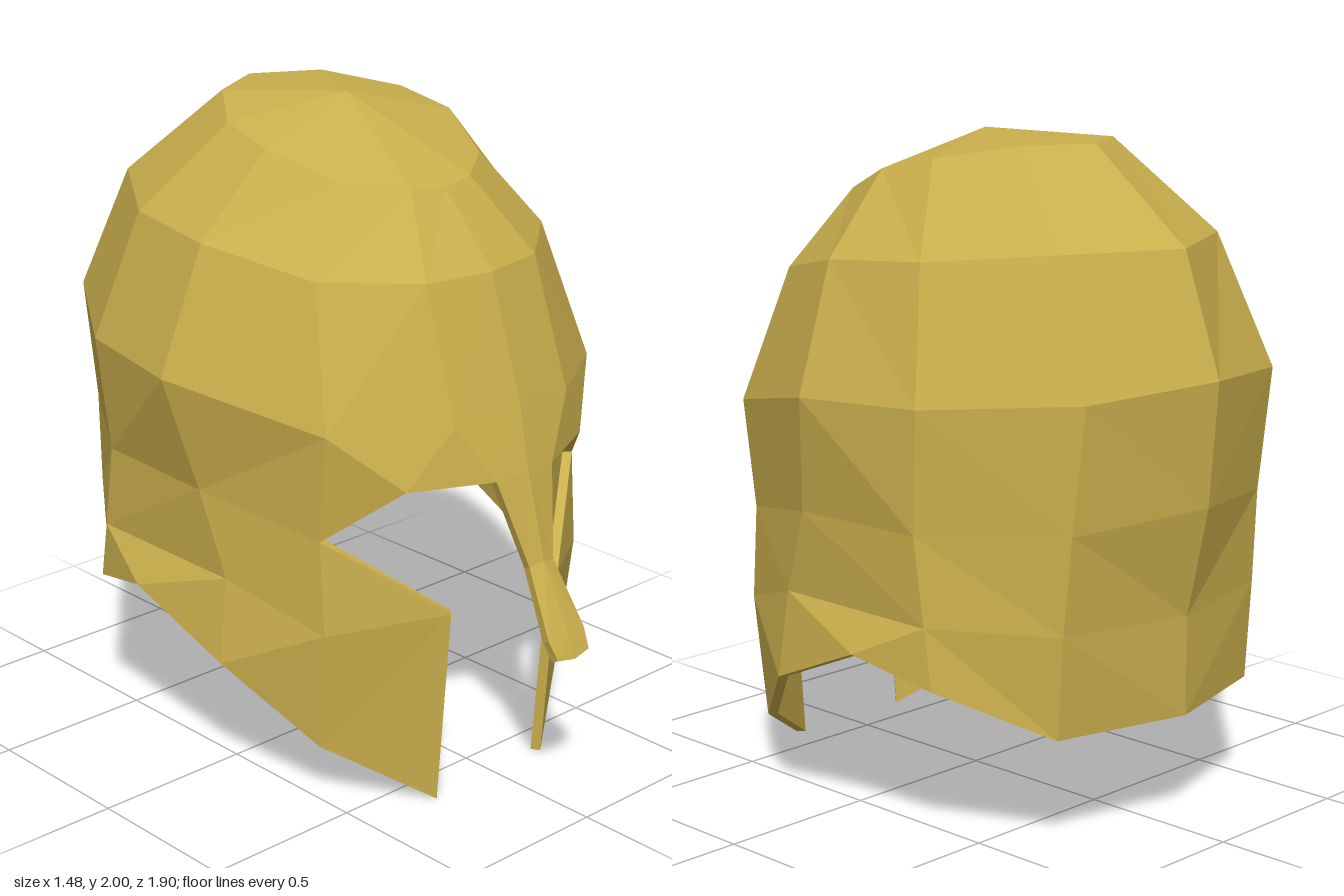
import * as THREE from 'three';

const THICKNESS = 0.03;

// Crown rings on the left half, each running from front centre to back centre
const crown = [
  [[0, 1.79, 0.38], [0.12, 1.8, 0.36], [0.28, 1.82, 0.24], [0.37, 1.9, 0.02], [0.35, 1.94, -0.17], [0.2, 1.98, -0.37], [0, 1.98, -0.48]],
  [[0, 1.58, 0.57], [0.22, 1.58, 0.53], [0.46, 1.59, 0.33], [0.6, 1.66, 0], [0.56, 1.68, -0.33], [0.35, 1.71, -0.65], [0, 1.71, -0.82]],
  [[0, 1.22, 0.69], [0.23, 1.19, 0.66], [0.54, 1.18, 0.46], [0.74, 1.28, -0.02], [0.67, 1.29, -0.42], [0.41, 1.32, -0.82], [0, 1.35, -0.95]],
];

// Named points of the brow, cheek, neck and nose guard on the left half
const lower = {
  brow0: [0, 1.03, 0.75], brow1: [0.115, 1.02, 0.735], brow2: [0.36, 1.02, 0.62], eye: [0.53, 0.85, 0.42],
  side3: [0.67, 0.93, 0.03], side4: [0.65, 0.93, -0.41], side5: [0.41, 0.95, -0.79], side6: [0, 0.98, -0.92],
  cheek1: [0.225, 0.62, 0.67], cheek2: [0.53, 0.56, 0.44], cheek3: [0.65, 0.67, 0.12],
  neck4: [0.65, 0.67, -0.45], neck5: [0.42, 0.66, -0.77], neck6: [0, 0.65, -0.85],
  rim1: [0.225, 0, 0.62], rim2: [0.515, 0.185, 0.4], rim3: [0.685, 0.41, 0.13], rim4: [0.715, 0.56, -0.22],
  rim5: [0.65, 0.49, -0.48], rim6: [0.42, 0.355, -0.75], rim7: [0, 0.35, -0.85],
  nose0: [0, 0.77, 0.82], nose1: [0.05, 0.76, 0.81],
  noseLow0: [0, 0.57, 0.925], noseLow1: [0.075, 0.57, 0.915],
  tip0: [0, 0.505, 0.952], tip1: [0.065, 0.515, 0.945],
};

// Panels below the crown; c0..c6 are points of the widest crown ring
const panels = [
  'c0 c1 brow1 brow0', 'c1 brow2 brow1', 'c1 c2 brow2', 'c2 eye brow2', 'c2 c3 side3 eye',
  'c3 c4 side4 side3', 'c4 c5 side5 side4', 'c5 c6 side6 side5',
  'eye cheek2 cheek1', 'cheek1 cheek2 rim2 rim1', 'eye side3 cheek3 cheek2', 'cheek2 cheek3 rim3 rim2',
  'side3 side4 neck4 cheek3', 'cheek3 neck4 rim4', 'cheek3 rim4 rim3', 'neck4 rim5 rim4',
  'side4 side5 neck5 neck4', 'side5 side6 neck6 neck5', 'neck4 neck5 rim6 rim5', 'neck5 neck6 rim7 rim6',
  'brow0 brow1 nose1 nose0', 'nose0 nose1 noseLow1 noseLow0', 'noseLow0 noseLow1 tip1 tip0',
];

// Slight hand-beaten sideways lean of the face and skirt
function lean(x, y, z) {
  if (z > 0.5 && y < 1.1) return -0.02;
  return y < 1 && z < 0.3 && x !== 0 ? 0.02 : 0;
}

// Triangles of the whole outer skin, mirrored from the left half
function buildSkin() {
  const points = [], triangles = [], ids = new Map();
  const centre = new THREE.Vector3(0, 0.8, -0.1);

  const half = { apex: [0, 2, -0.04] };
  crown.forEach((ring, r) => ring.forEach((p, c) => { half['abc'[r] + c] = p; }));
  Object.assign(half, lower);

  const faces = [...panels];
  for (let c = 0; c < 6; c++) {
    faces.push(`apex a${c} a${c + 1}`);
    faces.push(`a${c} a${c + 1} b${c + 1} b${c}`, `b${c} b${c + 1} c${c + 1} c${c}`);
  }

  const pointId = (name, side) => {
    const [x, y, z] = half[name];
    const key = x === 0 ? name : name + side;
    if (!ids.has(key)) {
      ids.set(key, points.length);
      points.push(new THREE.Vector3(x * side + lean(x, y, z), y, z));
    }
    return ids.get(key);
  };

  const addTriangle = (a, b, c) => {
    const t = new THREE.Triangle(points[a], points[b], points[c]);
    const out = t.getMidpoint(new THREE.Vector3()).sub(centre);
    const facing = t.getNormal(new THREE.Vector3()).dot(out) > 0;
    triangles.push(facing ? [a, b, c] : [a, c, b]);
  };

  for (const side of [1, -1]) {
    for (const face of faces) {
      const f = face.split(' ').map((name) => pointId(name, side));
      for (let i = 1; i < f.length - 1; i++) addTriangle(f[0], f[i], f[i + 1]);
    }
  }
  return { points, triangles };
}

// Points pushed inwards along their averaged normals
function offsetInwards(points, triangles) {
  const normals = points.map(() => new THREE.Vector3());
  for (const t of triangles) {
    const n = new THREE.Triangle(...t.map((i) => points[i])).getNormal(new THREE.Vector3());
    t.forEach((i) => normals[i].add(n));
  }
  return points.map((p, i) => p.clone().addScaledVector(normals[i].normalize(), -THICKNESS));
}

// Unshared triangles give each facet its own flat normal
function facetedMesh(name, triangles, points, material) {
  const geometry = new THREE.BufferGeometry().setFromPoints(triangles.flat().map((i) => points[i]));
  geometry.computeVertexNormals();
  const mesh = new THREE.Mesh(geometry, material);
  mesh.name = name;
  return mesh;
}

export function createModel() {
  const bronze = new THREE.MeshStandardMaterial({ color: 0xc9ae4c, flatShading: true });
  bronze.name = 'bronze';

  const { points, triangles } = buildSkin();
  const inner = offsetInwards(points, triangles);
  const all = [...points, ...inner];
  const n = points.length;

  // Strip joining outer and inner skins along every open edge
  const edges = new Set();
  for (const [a, b, c] of triangles) [[a, b], [b, c], [c, a]].forEach((e) => edges.add(e.join()));
  const rim = [];
  for (const edge of edges) {
    const [a, b] = edge.split(',').map(Number);
    if (!edges.has(`${b},${a}`)) rim.push([b, a, a + n], [b, a + n, b + n]);
  }

  const helmet = new THREE.Group();
  helmet.name = 'helmet';
  helmet.add(
    facetedMesh('outerShell', triangles, all, bronze),
    facetedMesh('innerShell', triangles.map(([a, b, c]) => [a + n, c + n, b + n]), all, bronze),
    facetedMesh('rimEdge', rim, all, bronze),
  );
  return helmet;
}
